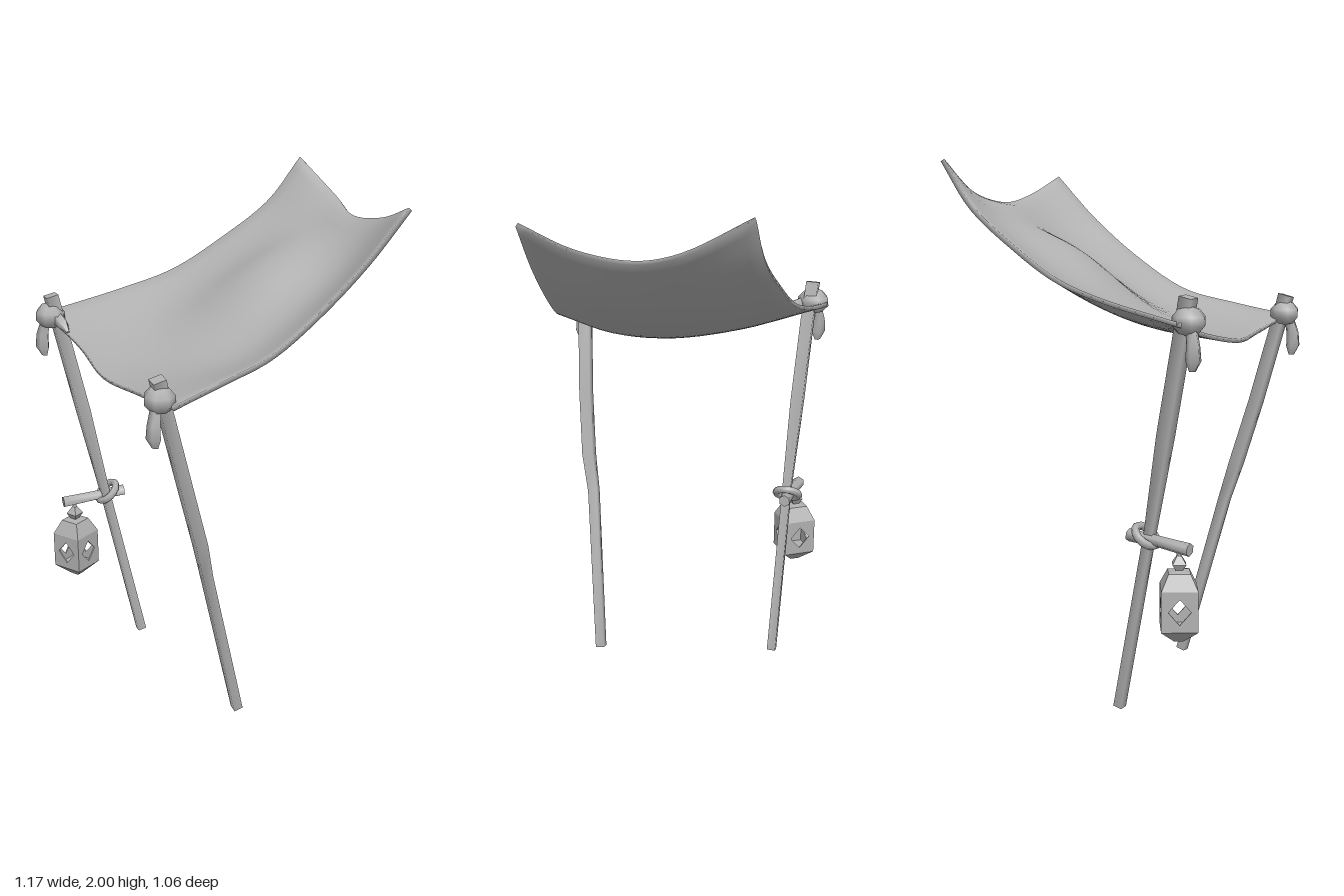
import * as THREE from 'three';

const grey = new THREE.MeshStandardMaterial({ color: 0xb0b0b0 });
grey.name = 'plain grey';

function add(parent, name, geometry) {
  const mesh = new THREE.Mesh(geometry, grey);
  mesh.name = name;
  parent.add(mesh);
  return mesh;
}

function faceted(geometry) {
  const flat = geometry.toNonIndexed();
  flat.computeVertexNormals();
  return flat;
}

// Tapered, bent rod through points [x, y, z, radius], listed from its top end
function rod(points, sides) {
  const n = points.length - 1;
  const geo = new THREE.CylinderGeometry(1, 1, 1, sides, n).rotateY(Math.PI / sides);
  const centres = points.map(p => new THREE.Vector3(p[0], p[1], p[2]));
  const axis = centres[0].clone().sub(centres[n]).normalize();
  const turn = new THREE.Quaternion().setFromUnitVectors(new THREE.Vector3(0, 1, 0), axis);
  const pos = geo.attributes.position, v = new THREE.Vector3();
  for (let i = 0; i < pos.count; i++) {
    v.fromBufferAttribute(pos, i);
    const k = Math.round((0.5 - v.y) * n);
    v.y = 0;
    v.multiplyScalar(points[k][3]).applyQuaternion(turn).add(centres[k]);
    pos.setXYZ(i, v.x, v.y, v.z);
  }
  geo.computeVertexNormals();
  return geo;
}

// Sagging cloth: smooth surface through five rows, back to front, closed to a slab
function clothGeometry() {
  const rows = [
    [[-0.53, 1.44, -0.53], [-0.2, 1.51, -0.515], [0, 1.57, -0.49], [0.2, 1.68, -0.47], [0.4, 1.82, -0.45], [0.535, 1.99, -0.44]],
    [[-0.48, 1.38, -0.26], [-0.2, 1.415, -0.25], [0, 1.475, -0.24], [0.2, 1.57, -0.23], [0.4, 1.71, -0.22], [0.582, 1.87, -0.21]],
    [[-0.475, 1.34, 0], [-0.2, 1.37, -0.01], [0, 1.42, -0.02], [0.2, 1.52, -0.03], [0.4, 1.665, -0.03], [0.565, 1.83, -0.04]],
    [[-0.43, 1.35, 0.24], [-0.2, 1.38, 0.23], [0, 1.42, 0.21], [0.2, 1.52, 0.18], [0.4, 1.665, 0.17], [0.58, 1.86, 0.16]],
    [[-0.405, 1.388, 0.53], [-0.2, 1.43, 0.475], [0, 1.48, 0.43], [0.2, 1.6, 0.4], [0.4, 1.76, 0.375], [0.572, 1.935, 0.355]],
  ].map(r => new THREE.CatmullRomCurve3(r.map(p => new THREE.Vector3(...p))));
  const N = 24, M = 20, count = (N + 1) * (M + 1);
  const mid = [], index = [];
  const id = (i, j) => i * (M + 1) + j;
  for (let i = 0; i <= N; i++) {
    const across = new THREE.CatmullRomCurve3(rows.map(r => r.getPoint(i / N)));
    for (let j = 0; j <= M; j++) mid.push(across.getPoint(j / M));
  }
  // Offset along an approximate normal; the upper skin also swells into a soft fold
  const fold = p => 0.13 * Math.exp(-(((p.x - 0.18) / 0.27) ** 2) - ((p.z + 0.07) / 0.21) ** 2);
  const position = [];
  for (const side of [1, -1]) {
    for (let i = 0; i <= N; i++) for (let j = 0; j <= M; j++) {
      const du = mid[id(Math.min(i + 1, N), j)].clone().sub(mid[id(Math.max(i - 1, 0), j)]);
      const dv = mid[id(i, Math.min(j + 1, M))].clone().sub(mid[id(i, Math.max(j - 1, 0))]);
      const p = dv.cross(du).normalize().multiplyScalar(side * 0.008).add(mid[id(i, j)]);
      const lift = side > 0 && i < N ? fold(p) : 0;
      position.push(p.x, p.y + lift, p.z);
    }
  }
  for (let i = 0; i < N; i++) for (let j = 0; j < M; j++) {
    const a = id(i, j), b = id(i + 1, j), c = id(i, j + 1), d = id(i + 1, j + 1);
    index.push(a, c, b, b, c, d);
    index.push(a + count, b + count, c + count, b + count, d + count, c + count);
  }
  // Rim joining both skins
  const rim = [];
  for (let i = 0; i < N; i++) rim.push(id(i, 0));
  for (let j = 0; j < M; j++) rim.push(id(N, j));
  for (let i = N; i > 0; i--) rim.push(id(i, M));
  for (let j = M; j > 0; j--) rim.push(id(0, j));
  rim.forEach((p, k) => {
    const q = rim[(k + 1) % rim.length];
    index.push(p, q, q + count, p, q + count, p + count);
  });
  const geo = new THREE.BufferGeometry();
  geo.setAttribute('position', new THREE.Float32BufferAttribute(position, 3));
  geo.setIndex(index);
  geo.computeVertexNormals();
  return geo;
}

// Knotted cloth corner around a pole top
function knot(name, x, y, z, radius) {
  const group = new THREE.Group();
  group.name = name;
  const ball = add(group, 'knotBall', new THREE.SphereGeometry(radius, 7, 5));
  ball.scale.set(1, 0.85, 1.08);
  const s = Math.sign(z);
  add(group, 'knotTail', rod([
    [-0.015, -0.02, 0.01 * s, 0.02], [-0.028, -0.08, 0.02 * s, 0.025],
    [-0.03, -0.13, 0.02 * s, 0.028], [-0.025, -0.165, 0.018 * s, 0.012]], 5));
  group.position.set(x, y, z);
  return group;
}

// Square lantern with a diamond window in each wall
function lantern() {
  const group = new THREE.Group();
  group.name = 'lantern';
  const r = 0.091, low = 0.375, high = 0.52, depth = 0.006;
  const half = r / Math.SQRT2, middle = (low + high) / 2;
  const wall = new THREE.Shape([[-half, low], [half, low], [half, high], [-half, high]].map(p => new THREE.Vector2(...p)));
  wall.holes.push(new THREE.Path([[0, middle - 0.046], [-0.04, middle], [0, middle + 0.046], [0.04, middle]].map(p => new THREE.Vector2(...p))));
  const wallGeo = new THREE.ExtrudeGeometry(wall, { depth, bevelEnabled: false }).translate(0, 0, half - depth);
  for (let k = 0; k < 4; k++) add(group, 'lanternWall', wallGeo).rotation.y = Math.PI / 4 + k * Math.PI / 2;
  const turned = (name, profile) => add(group, name,
    faceted(new THREE.LatheGeometry(profile.map(p => new THREE.Vector2(...p)), 4)));
  turned('lanternBase', [[0, 0.323], [0.025, 0.33], [r, low], [0, low]]);
  turned('lanternRoof', [[0, high], [r, high], [0.054, 0.577], [0, 0.585]]);
  turned('lanternFinial', [[0, 0.57], [0.014, 0.578], [0.034, 0.605], [0.012, 0.632], [0, 0.64]]);
  add(group, 'lanternHook', new THREE.CylinderGeometry(0.009, 0.009, 0.04, 6)).position.y = 0.645;
  group.position.set(-0.475, 0, -0.435);
  group.rotation.y = -0.21;
  return group;
}

export function createModel() {
  const model = new THREE.Group();
  model.name = 'awning';
  add(model, 'cloth', clothGeometry());

  // Leaning, slightly crooked poles
  add(model, 'frontPole', rod([
    [-0.437, 1.475, 0.468, 0.034], [-0.415, 1.38, 0.46, 0.032], [-0.33, 1.05, 0.435, 0.032],
    [-0.262, 0.8, 0.405, 0.032], [-0.225, 0.65, 0.375, 0.027], [-0.07, 0.005, 0.305, 0.025]], 4));
  add(model, 'backPole', rod([
    [-0.522, 1.53, -0.467, 0.034], [-0.49, 1.38, -0.455, 0.034], [-0.42, 1.05, -0.437, 0.034],
    [-0.35, 0.7, -0.42, 0.024], [-0.21, 0.02, -0.402, 0.024]], 4));

  // Knots and the loose corner beside the back one
  model.add(knot('frontKnot', -0.432, 1.405, 0.47, 0.058));
  model.add(knot('backKnot', -0.527, 1.45, -0.47, 0.06));
  add(model, 'looseCorner', rod([
    [-0.51, 1.445, -0.43, 0.025], [-0.5, 1.43, -0.39, 0.022], [-0.492, 1.41, -0.352, 0.005]], 5));

  // Crossbar lashed to the back pole
  add(model, 'crossbar', rod([
    [-0.265, 0.677, -0.425, 0.024], [-0.39, 0.67, -0.43, 0.021], [-0.52, 0.66, -0.44, 0.024]], 6));
  const lash = add(model, 'ropeLashing', new THREE.TorusGeometry(0.047, 0.015, 6, 14));
  lash.quaternion.setFromUnitVectors(new THREE.Vector3(0, 0, 1), new THREE.Vector3(-0.67, 0.742, 0).normalize());
  lash.position.set(-0.335, 0.682, -0.425);

  model.add(lantern());
  return model;
}
